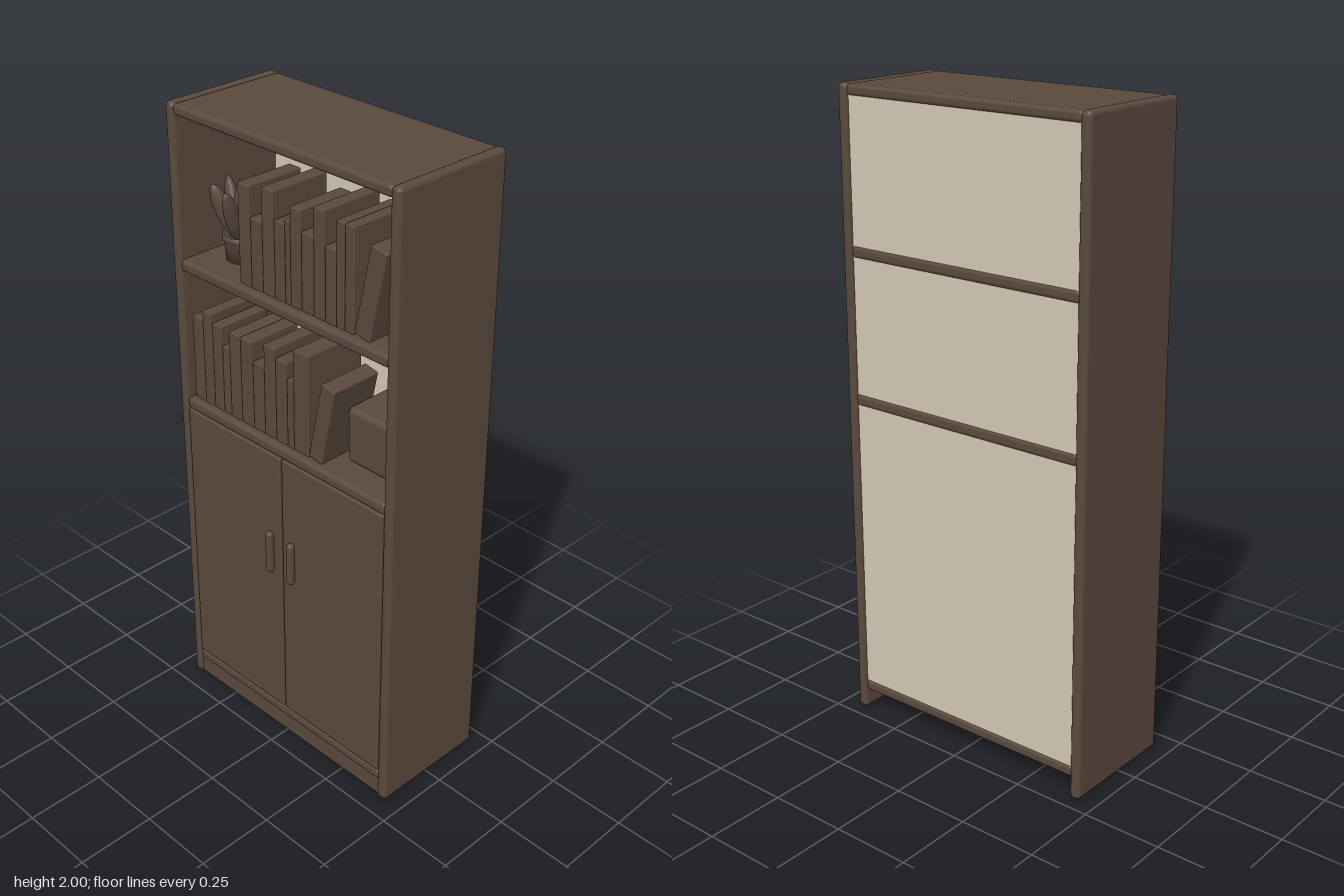
import * as THREE from 'three';
import { RoundedBoxGeometry } from 'three/addons/geometries/RoundedBoxGeometry.js';

export function createModel() {
  const model = new THREE.Group();
  model.name = 'bookcase';
  const wood = new THREE.MeshStandardMaterial({ color: 0x5b493d });
  wood.name = 'darkBrown';
  const cream = new THREE.MeshStandardMaterial({ color: 0xd2c7b3 });
  cream.name = 'cream';

  const add = (name, geometry, x, y, z, material = wood, parent = model) => {
    const mesh = new THREE.Mesh(geometry, material);
    mesh.name = name;
    mesh.position.set(x, y, z);
    parent.add(mesh);
    return mesh;
  };
  // Rounded box given by its limits on each axis
  const slab = (name, [x0, x1], [y0, y1], [z0, z1], r, parent = model) =>
    add(name, new RoundedBoxGeometry(x1 - x0, y1 - y0, z1 - z0, 3, r),
      (x0 + x1) / 2, (y0 + y1) / 2, (z0 + z1) / 2, wood, parent);

  // Side panels, doors and handles
  for (const s of [-1, 1]) {
    const side = s < 0 ? 'right' : 'left';
    slab(side + 'SidePanel', s < 0 ? [-0.445, -0.41] : [0.41, 0.445], [0.005, 2], [-0.21, 0.19], 0.014);
    slab(side + 'Door', s < 0 ? [-0.409, -0.003] : [0.003, 0.409], [0.109, 1.039], [0.165, 0.189], 0.005);
    add(side + 'Handle', new THREE.CapsuleGeometry(0.013, 0.122, 6, 14), s * 0.045, 0.695, 0.196);
  }

  // Horizontal boards
  const boards = { top: [1.964, 1.998], upperShelf: [1.496, 1.533], middleShelf: [1.04, 1.077], bottomBoard: [0.07, 0.106] };
  for (const [name, y] of Object.entries(boards)) slab(name, [-0.415, 0.415], y, [-0.205, 0.187], 0.012);
  slab('plinth', [-0.415, 0.415], [0.008, 0.074], [0.15, 0.182], 0.006);

  // Back panel
  add('backPanel', new THREE.BoxGeometry(0.82, 1.89, 0.012), 0, 1.03, -0.194, cream);

  // Rows of books: shared edges along x, then the height of each book
  const bookRow = (name, base, edges, heights, lean) => {
    const row = new THREE.Group();
    row.name = name;
    model.add(row);
    heights.forEach((h, i) =>
      slab('book', [edges[i] + 0.001, edges[i + 1] - 0.001], [base, base + h], [0.165 - 0.65 * h, 0.165], 0.004, row));
    // Last book leans against the row's end
    const pivot = new THREE.Group();
    pivot.name = 'leaningBook';
    pivot.position.set(lean.x, base, 0);
    pivot.rotation.z = -lean.angle;
    row.add(pivot);
    slab('book', [0, lean.width], [0.008, lean.height], [0.165 - 0.65 * lean.height, 0.165], 0.004, pivot);
  };
  bookRow('upperBooks', 1.533,
    [-0.18, -0.132, -0.085, -0.037, 0.005, 0.026, 0.069, 0.116, 0.159, 0.201, 0.233, 0.27],
    [0.3, 0.212, 0.313, 0.233, 0.249, 0.291, 0.233, 0.318, 0.222, 0.307, 0.307],
    { x: 0.268, angle: 0.21, width: 0.057, height: 0.285 });
  bookRow('middleBooks', 1.077,
    [-0.4, -0.354, -0.312, -0.27, -0.238, -0.19, -0.138, -0.09, -0.042, 0.005, 0.032, 0.095],
    [0.276, 0.307, 0.281, 0.222, 0.281, 0.281, 0.222, 0.297, 0.27, 0.222, 0.324],
    { x: 0.093, angle: 0.2, width: 0.052, height: 0.267 });

  // Storage box
  slab('storageBox', [0.18, 0.387], [1.077, 1.255], [-0.085, 0.1], 0.018);

  // Potted plant: lathed pot and plump leaves
  const plant = new THREE.Group();
  plant.name = 'pottedPlant';
  plant.position.set(-0.296, 1.533, 0.05);
  model.add(plant);
  const profile = [[0, 0], [0.047, 0], [0.054, 0.062], [0.058, 0.064], [0.058, 0.08], [0.05, 0.08], [0.048, 0.07], [0, 0.07]];
  add('pot', new THREE.LatheGeometry(profile.map(([x, y]) => new THREE.Vector2(x, y)), 24), 0, 0, 0, wood, plant);

  const leafGeometry = new THREE.SphereGeometry(1, 16, 12);
  leafGeometry.scale(0.026, 0.09, 0.02);
  leafGeometry.translate(0, 0.078, 0);
  for (let i = 0; i < 7; i++) {
    const leaf = add('leaf', leafGeometry, 0, 0.07, 0, wood, plant);
    if (i === 6) continue;
    const a = i * Math.PI / 3 + 0.25;
    leaf.position.set(Math.cos(a) * 0.018, 0.07, Math.sin(a) * 0.018);
    leaf.rotation.set(0, -a, -0.38, 'YXZ');
  }
  return model;
}
